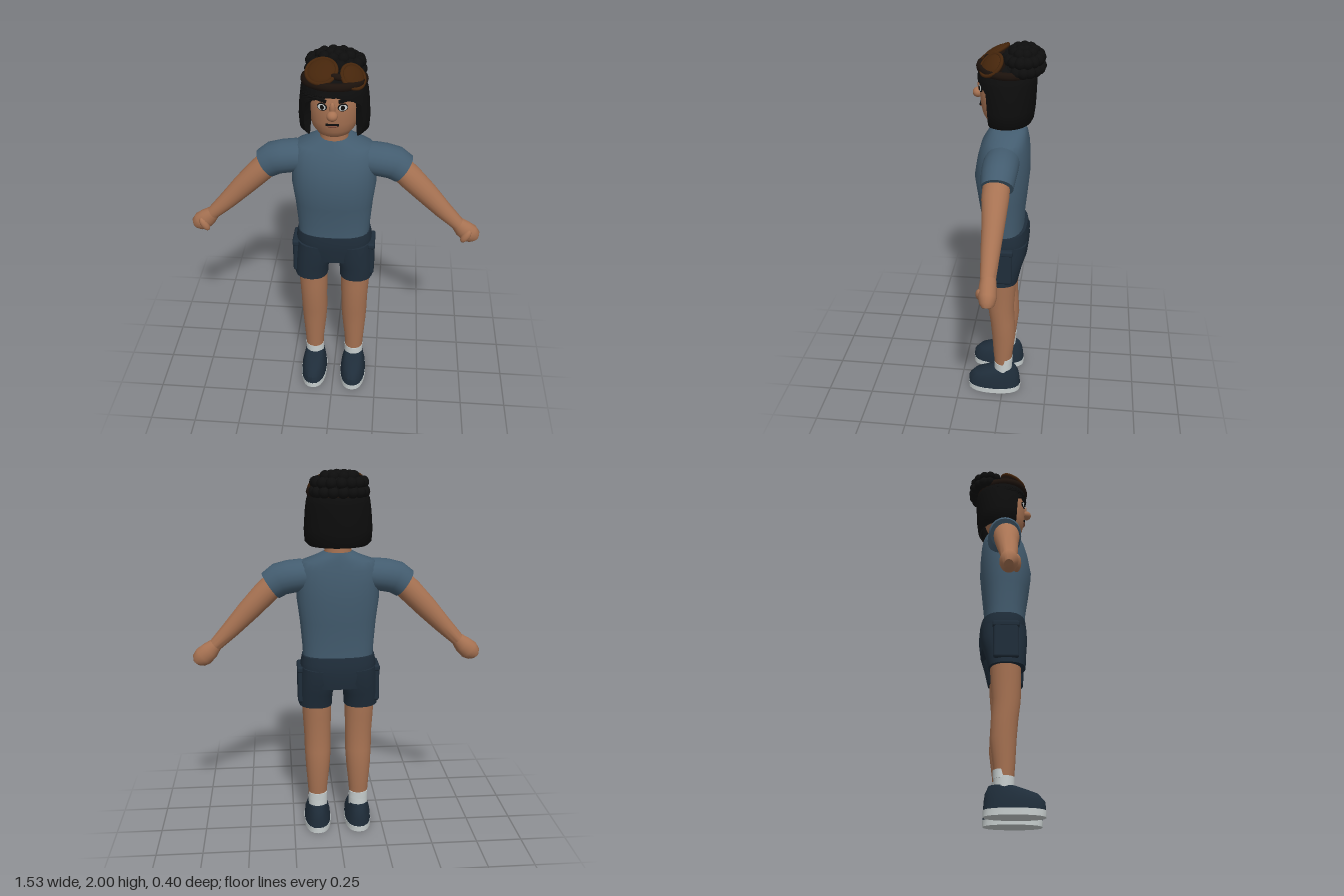
import * as THREE from 'three';
import { toCreasedNormals } from 'three/addons/utils/BufferGeometryUtils.js';
import { RoundedBoxGeometry } from 'three/addons/geometries/RoundedBoxGeometry.js';

const mat = (name, color, side = THREE.FrontSide) =>
  Object.assign(new THREE.MeshStandardMaterial({ color, side }), { name });

// Skin a list of equal-length point rings, wound counter-clockwise about the direction of travel
function skin(rings, caps = true, crease = 0.75) {
  const pos = [], idx = [], n = rings[0].length;
  rings.forEach(r => r.forEach(p => pos.push(p.x, p.y, p.z)));
  for (let i = 0; i < rings.length - 1; i++) for (let j = 0; j < n; j++) {
    const a = i * n + j, b = i * n + (j + 1) % n;
    idx.push(a, b, b + n, a, b + n, a + n);
  }
  if (caps) [0, rings.length - 1].forEach((i, top) => {
    const c = rings[i].reduce((s, p) => s.add(p), new THREE.Vector3()).divideScalar(n);
    const k = pos.length / 3;
    pos.push(c.x, c.y, c.z);
    for (let j = 0; j < n; j++) {
      const a = i * n + j, b = i * n + (j + 1) % n;
      if (top) idx.push(k, a, b); else idx.push(k, b, a);
    }
  });
  const g = new THREE.BufferGeometry();
  g.setAttribute('position', new THREE.Float32BufferAttribute(pos, 3));
  g.setIndex(idx);
  return toCreasedNormals(g, crease);
}

// Tube of super-elliptic sections along a path in the xy plane: [x, y, z, radius, zRadius, power]
function limb(path, n = 20) {
  return skin(path.map(([x, y, z, r, rz, pw = 2], i) => {
    const a = path[Math.max(i - 1, 0)], b = path[Math.min(i + 1, path.length - 1)];
    const t = new THREE.Vector2(b[0] - a[0], b[1] - a[1]).normalize();
    return Array.from({ length: n }, (_, j) => {
      const c = Math.cos(j / n * Math.PI * 2), s = Math.sin(j / n * Math.PI * 2);
      const u = Math.sign(c) * Math.abs(c) ** (2 / pw) * r;
      const v = Math.sign(s) * Math.abs(s) ** (2 / pw) * rz;
      return new THREE.Vector3(x - t.y * u, y + t.x * u, z + v);
    });
  }));
}

export function createModel() {
  const model = new THREE.Group();
  const skinM = mat('skin', 0xa87353), shirtM = mat('slate shirt', 0x435c6f);
  const navyM = mat('navy', 0x1f2d3a), hairM = mat('black hair', 0x0d0d0d, THREE.DoubleSide);
  const whiteM = mat('off white', 0xc9d0d0), lensM = mat('brown lens', 0x45250b);
  const rimM = mat('dark strap', 0x1c120c), lipM = mat('lip', 0x86523f);
  const add = (name, geo, m, p = [0, 0, 0], r = [0, 0, 0], s = [1, 1, 1]) => {
    const o = new THREE.Mesh(geo, m);
    o.name = name;
    o.position.set(...p); o.rotation.set(...r); o.scale.set(...s);
    model.add(o);
    return o;
  };
  const ball = new THREE.SphereGeometry(1, 16, 12);
  const disc = new THREE.CylinderGeometry(1, 1, 1, 20).rotateX(Math.PI / 2);

  // Torso
  add('shirt', limb([
    [0, 1.02, 0.007, 0.185, 0.108, 2.6], [0, 1.1, 0.007, 0.19, 0.11, 2.5],
    [0, 1.22, 0.01, 0.2, 0.126, 2.4], [0, 1.34, 0.012, 0.215, 0.14, 2.4],
    [0, 1.43, 0.005, 0.213, 0.132, 2.4], [0, 1.5, -0.002, 0.212, 0.12, 2.3],
    [0, 1.54, -0.01, 0.19, 0.105, 2.2], [0, 1.57, -0.016, 0.11, 0.095],
    [0, 1.586, -0.018, 0.078, 0.088]], 28), shirtM);
  add('neck', limb([[0, 1.54, 0, 0.075, 0.07], [0, 1.6, 0, 0.069, 0.067], [0, 1.67, 0, 0.069, 0.067]]), skinM);
  add('shortsHips', limb([
    [0, 0.87, -0.005, 0.175, 0.115, 2.6], [0, 0.95, -0.005, 0.2, 0.125, 2.6],
    [0, 1.0, -0.002, 0.2, 0.124, 2.6], [0, 1.038, 0, 0.192, 0.118, 2.6]], 28), navyM);

  for (const s of [1, -1]) {
    const side = s > 0 ? 'left' : 'right';
    const P = (...path) => limb(path.map(([x, ...rest]) => [s * x, ...rest]));
    // Arms
    add(side + 'Sleeve', P([0.12, 1.47, -0.002, 0.07, 0.08], [0.19, 1.463, -0.002, 0.084, 0.088],
      [0.25, 1.455, 0, 0.086, 0.088], [0.3, 1.443, 0, 0.086, 0.085], [0.348, 1.41, 0, 0.079, 0.078]), shirtM);
    add(side + 'Arm', P([0.31, 1.437, 0.005, 0.062, 0.066], [0.38, 1.368, 0.006, 0.064, 0.066],
      [0.47, 1.275, 0.005, 0.058, 0.055], [0.56, 1.18, 0.008, 0.047, 0.046],
      [0.655, 1.085, 0.008, 0.034, 0.036]), skinM);
    add(side + 'Hand', P([0.64, 1.1, 0.008, 0.034, 0.036], [0.675, 1.065, 0.006, 0.048, 0.042],
      [0.71, 1.035, 0.004, 0.053, 0.044], [0.735, 1.013, 0.003, 0.042, 0.035],
      [0.745, 1.0, 0.002, 0.024, 0.022]), skinM);
    add(side + 'Thumb', ball, skinM, [s * 0.692, 1.037, 0.04], [0, 0, -s * 0.5], [0.021, 0.042, 0.021]);

    // Legs
    add(side + 'ShortLeg', P([0.122, 0.75, 0.015, 0.09, 0.095, 2.3], [0.12, 0.83, 0.008, 0.092, 0.106, 2.4],
      [0.106, 0.9, 0, 0.1, 0.12, 2.4], [0.1, 0.97, -0.003, 0.1, 0.122, 2.4]), navyM);
    add(side + 'Pocket', new RoundedBoxGeometry(0.035, 0.2, 0.13, 3, 0.015), navyM, [s * 0.201, 0.875, 0.008]);
    add(side + 'PocketFlap', new RoundedBoxGeometry(0.04, 0.035, 0.14, 3, 0.012), navyM, [s * 0.2, 0.962, 0.008]);
    add(side + 'Leg', P([0.114, 0.17, 0, 0.05, 0.047], [0.115, 0.25, 0, 0.054, 0.054],
      [0.113, 0.38, -0.004, 0.066, 0.066], [0.112, 0.48, 0.003, 0.072, 0.068],
      [0.113, 0.58, 0.012, 0.073, 0.072], [0.115, 0.68, 0.009, 0.077, 0.077],
      [0.118, 0.8, 0.008, 0.08, 0.08]), skinM);
    add(side + 'Sock', P([0.114, 0.1, 0, 0.052, 0.05], [0.114, 0.19, 0, 0.053, 0.051]), whiteM);
    add(side + 'SockHeel', P([0.114, 0.18, -0.012, 0.052, 0.041], [0.114, 0.222, -0.016, 0.051, 0.039]), whiteM);
    add(side + 'Sole', P([0.115, 0, 0.05, 0.074, 0.15, 2.3], [0.115, 0.032, 0.05, 0.075, 0.151, 2.3]), whiteM);
    add(side + 'Shoe', P([0.115, 0.032, 0.05, 0.073, 0.149, 2.3], [0.115, 0.075, 0.05, 0.07, 0.146, 2.2],
      [0.115, 0.11, 0.037, 0.061, 0.128, 2.2], [0.115, 0.13, 0.014, 0.054, 0.096, 2.2],
      [0.115, 0.146, -0.007, 0.048, 0.069]), navyM);

    // Eyes and brows
    const eye = (name, m, z, w, h, x = 0.049) =>
      add(side + name, disc, m, [s * x, 1.793, z], [0, s * 0.4, 0], [w, h, 0.006]);
    eye('EyeOutline', hairM, 0.114, 0.025, 0.019);
    eye('EyeWhite', whiteM, 0.1165, 0.021, 0.015);
    eye('Pupil', hairM, 0.119, 0.01, 0.012, 0.048);
    add(side + 'Brow', new THREE.BoxGeometry(0.058, 0.015, 0.009), hairM, [s * 0.056, 1.828, 0.113], [0, s * 0.42, s * 0.15]);
  }

  // Head and face
  add('head', limb([
    [0, 1.61, 0.01, 0.055, 0.06], [0, 1.625, 0.01, 0.082, 0.083], [0, 1.655, 0.008, 0.105, 0.1],
    [0, 1.7, 0.005, 0.118, 0.114], [0, 1.77, 0.003, 0.124, 0.121], [0, 1.84, 0, 0.123, 0.12],
    [0, 1.89, -0.005, 0.1, 0.1]], 28), skinM);
  add('nose', ball, skinM, [0, 1.755, 0.134], [0, 0, 0], [0.027, 0.025, 0.026]);
  add('noseBridge', ball, skinM, [0, 1.785, 0.12], [0.15, 0, 0], [0.015, 0.035, 0.015]);
  add('mouth', new THREE.BoxGeometry(0.064, 0.008, 0.009), hairM, [0, 1.703, 0.119]);
  add('lowerLip', ball, lipM, [0, 1.694, 0.117], [0, 0, 0], [0.026, 0.008, 0.008]);

  // Bob of hair: C-shaped sections open at the face [y, xRadius, zRadius, inner factor, half opening]
  const bob = [[1.62, 0.15, 0.122, 0.95, 0.92], [1.64, 0.17, 0.132, 0.82, 0.93], [1.7, 0.174, 0.14, 0.76, 0.94],
    [1.79, 0.168, 0.144, 0.76, 0.9], [1.815, 0.165, 0.145, 0.78, 0.68], [1.835, 0.163, 0.145, 0.8, 0.35],
    [1.85, 0.16, 0.144, 0.8, 0.03], [1.875, 0.15, 0.136, 0.8, 0.01]];
  add('hairBob', skin(bob.map(([y, rx, rz, f, open]) => Array.from({ length: 64 }, (_, j) => {
    const inner = j > 31, k = inner ? 63 - j : j, q = inner ? f : 1;
    const a = open + (Math.PI * 2 - 2 * open) * k / 31;
    return new THREE.Vector3(Math.sin(a) * rx * q, y, Math.cos(a) * rz * q - 0.01);
  })), false), hairM);
  add('hairCrown', limb([[0, 1.845, -0.01, 0.161, 0.144], [0, 1.875, -0.01, 0.15, 0.136],
    [0, 1.91, -0.012, 0.12, 0.112], [0, 1.935, -0.015, 0.06, 0.06]], 28), hairM);

  // Curly top
  add('curlCore', ball, hairM, [0, 1.922, -0.088], [0, 0, 0], [0.132, 0.062, 0.092]);
  for (const [count, lift, spread] of [[16, -0.025, 0.97], [15, 0.018, 0.93], [9, 0.044, 0.56], [3, 0.05, 0.18]])
    for (let i = 0; i < count; i++) {
      const a = (i + lift * 10) / count * Math.PI * 2;
      add('curl', ball, hairM, [Math.cos(a) * 0.127 * spread, 1.921 + lift, -0.088 + Math.sin(a) * 0.084 * spread],
        [0, 0, 0], [0.029, 0.029, 0.029]);
    }

  // Goggles pushed up on the head
  add('goggleStrap', new THREE.TorusGeometry(0.145, 0.016, 8, 36), rimM, [0, 1.885, -0.005], [Math.PI / 2 - 0.08, 0, 0], [1, 0.9, 1.3]);
  for (const [x, y, z, n, r] of [[-0.056, 1.943, 0.054, [-0.1, 0.85, 0.48], 0.075], [0.092, 1.922, 0.056, [0.5, 0.68, 0.5], 0.064]]) {
    const g = new THREE.Group();
    g.name = 'goggleEyepiece';
    g.position.set(x, y, z);
    g.quaternion.setFromUnitVectors(new THREE.Vector3(0, 0, 1), new THREE.Vector3(...n).normalize());
    const cup = add('goggleCup', new THREE.CylinderGeometry(r, r * 0.85, 0.05, 24).rotateX(Math.PI / 2), rimM, [0, 0, -0.025]);
    const rim = add('goggleRim', new THREE.TorusGeometry(r - 0.004, 0.009, 8, 28), lensM);
    const lens = add('goggleLens', ball, lensM, [0, 0, 0], [0, 0, 0], [r - 0.006, r - 0.006, 0.02]);
    g.add(cup, rim, lens);
    model.add(g);
  }
  add('goggleBridge', ball, rimM, [0.022, 1.93, 0.085], [0, 0, -0.2], [0.035, 0.016, 0.016]);
  return model;
}
